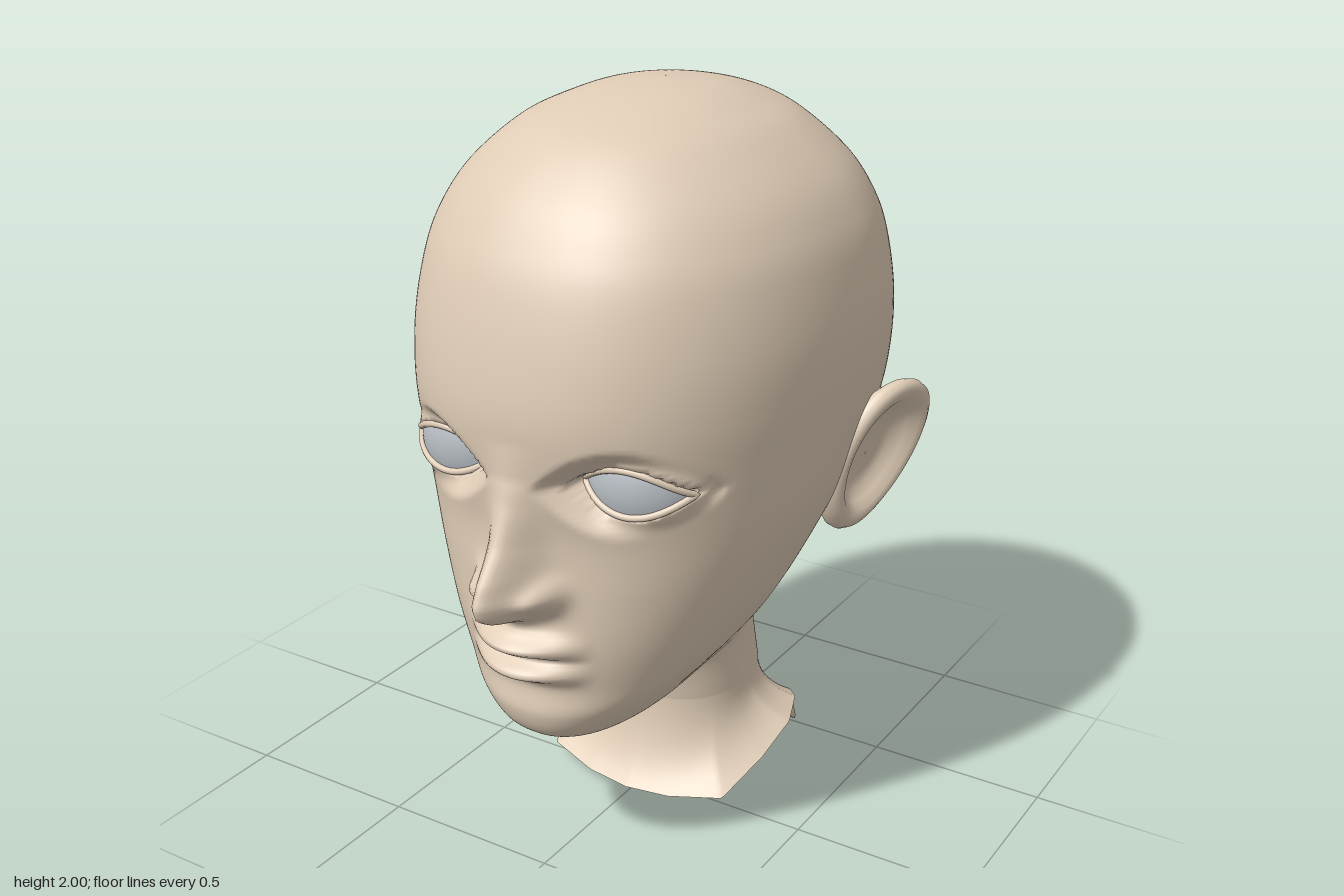
import * as THREE from 'three';

const { lerp, smoothstep, clamp } = THREE.MathUtils;
const bell = (v, mid, width) => Math.exp(-(((v - mid) / width) ** 2));

// Rings from crown to neck: front y, front z, back y, back z, half width, z of widest point, back roundness
const RINGS = [
  [2.0, -0.0995, 2.0, -0.1005, 0.0005, -0.1, 2],
  [1.985, 0.06, 1.985, -0.26, 0.145, -0.1, 2],
  [1.95, 0.215, 1.95, -0.395, 0.25, -0.1, 2],
  [1.9, 0.33, 1.9, -0.485, 0.345, -0.11, 2],
  [1.8, 0.442, 1.8, -0.597, 0.458, -0.12, 2],
  [1.7, 0.512, 1.7, -0.672, 0.522, -0.12, 2],
  [1.6, 0.558, 1.6, -0.718, 0.555, -0.12, 2],
  [1.45, 0.597, 1.45, -0.753, 0.577, -0.12, 2],
  [1.3, 0.615, 1.3, -0.752, 0.575, -0.12, 2],
  [1.15, 0.6, 1.17, -0.718, 0.557, -0.1, 2],
  [1.0, 0.572, 1.04, -0.65, 0.53, -0.05, 1.9],
  [0.85, 0.572, 0.93, -0.565, 0.487, -0.02, 1.75],
  [0.7, 0.575, 0.82, -0.468, 0.432, 0, 1.6],
  [0.58, 0.565, 0.735, -0.415, 0.377, 0.03, 1.5],
  [0.5, 0.57, 0.67, -0.394, 0.322, 0.03, 1.55],
  [0.43, 0.535, 0.615, -0.388, 0.268, 0, 1.7],
  [0.4, 0.46, 0.565, -0.388, 0.238, -0.05, 1.85],
  [0.415, 0.3, 0.515, -0.39, 0.226, -0.12, 2],
  [0.45, 0.1, 0.465, -0.396, 0.22, -0.16, 2],
  [0.41, 0.04, 0.41, -0.406, 0.219, -0.18, 2],
  [0.28, 0.01, 0.32, -0.428, 0.222, -0.2, 2],
];

// Cut edge of the neck, from front round to back: share of the half turn, x, y, z
const RIM = [
  [0, 0, 0.02, 0.1], [0.15, 0.13, 0.025, 0.085], [0.3, 0.28, 0.045, 0.04],
  [0.42, 0.32, 0.11, -0.12], [0.52, 0.335, 0.165, -0.25], [0.64, 0.29, 0.175, -0.37],
  [0.74, 0.225, 0.14, -0.455], [0.79, 0.225, 0, -0.515], [1, 0, 0.015, -0.505],
];

// Nose: height, projection, half width
const NOSE = [
  [0.73, 0, 0.06], [0.77, 0.025, 0.06], [0.795, 0.06, 0.065], [0.812, 0.13, 0.068],
  [0.835, 0.17, 0.07], [0.87, 0.184, 0.07], [0.92, 0.163, 0.066], [1.0, 0.102, 0.062],
  [1.1, 0.042, 0.06], [1.16, 0.015, 0.06], [1.25, 0, 0.06],
];

// Straight-line lookup in a table sorted by its first column
function lookup(table, v) {
  if (v <= table[0][0]) return table[0].slice(1);
  for (let i = 1; i < table.length; i++) {
    const a = table[i - 1], b = table[i];
    if (v <= b[0]) return a.slice(1).map((p, c) => lerp(p, b[c + 1], (v - a[0]) / (b[0] - a[0])));
  }
  return table[table.length - 1].slice(1);
}

// Smooth curve through the ring table
function ringAt(s) {
  const last = RINGS.length - 1, i = Math.min(Math.floor(s), last - 1), t = s - i;
  const p = [-1, 0, 1, 2].map(k => RINGS[Math.min(Math.max(i + k, 0), last)]);
  return p[1].map((b, c) => {
    const a = p[0][c], d = p[2][c], e = p[3][c];
    return b + 0.5 * t * (d - a + t * (2 * a - 5 * b + 4 * d - e + t * (3 * (b - d) + e - a)));
  });
}

// Eyeball sphere and the almond opening over it
const EYE = { x: 0.25, y: 1.145, z: 0.345, r: 0.17, midX: 0.267, halfW: 0.14, halfH: 0.055 };
const ballZ = (x, y, r) =>
  EYE.z + Math.sqrt(Math.max(0, r * r - (x - EYE.x) ** 2 - (y - EYE.y) ** 2));

// Depth of the face once nose, lips and eye sockets are modelled in
function faceZ(x, y, z) {
  const ax = Math.abs(x);
  const [out, width] = lookup(NOSE, y);
  let f = z + out * bell(x, 0, width);
  f += 0.06 * bell(ax, 0.092, 0.034) * bell(y, 0.866, 0.036);
  const mouth = Math.max(0, 1 - (x / 0.19) ** 2) ** 1.5;
  f += mouth * (0.075 * bell(y, 0.715, 0.03) + 0.066 * bell(y, 0.64, 0.028));
  f -= 0.02 * mouth * bell(y, 0.678, 0.009);
  const d = ((ax - EYE.midX) / EYE.halfW) ** 2 + Math.abs(y - EYE.y) / EYE.halfH;
  const lid = 1 - smoothstep(d, 1.15, 2.2);
  if (lid > 0) {
    const s = smoothstep(d, 0.95, 1.15);
    const target = clamp(ballZ(ax, y, lerp(0.14, 0.178, s)), f - lerp(0.15, 0.055, s), f + 0.015);
    f = lerp(f, target, lid);
  }
  return f;
}

// Joins closed rows of points into a smooth skin
function skinGeometry(rows, flip = false) {
  const n = rows[0].length, index = [];
  for (let i = 0; i < rows.length - 1; i++) {
    for (let j = 0; j < n; j++) {
      const k = (j + 1) % n;
      const a = i * n + j, b = a + n, c = i * n + k, d = c + n;
      index.push(...(flip ? [a, c, b, b, c, d] : [a, b, c, b, d, c]));
    }
  }
  const g = new THREE.BufferGeometry();
  g.setAttribute('position', new THREE.Float32BufferAttribute(rows.flat(2), 3));
  g.setIndex(index);
  g.computeVertexNormals();
  return g;
}

function headGeometry() {
  const SEG = 180, PER = 13, rows = [];
  // Angles sit closer together at the face
  const angles = Array.from({ length: SEG }, (_, j) => {
    const u = (2 * j) / SEG - 1;
    return Math.PI * Math.sign(u) * Math.abs(u) ** 1.25;
  });
  for (let i = 0; i <= (RINGS.length - 1) * PER; i++) {
    const [yf, zf, yb, zb, w, zc, round] = ringAt(i / PER);
    rows.push(angles.map(a => {
      const s = Math.sin(a), c = Math.cos(a);
      const e = 2 / (c > 0 ? 2.25 : round);
      const x = w * Math.sign(s) * Math.abs(s) ** e;
      const z = zc + (c > 0 ? zf - zc : zc - zb) * Math.sign(c) * Math.abs(c) ** e;
      const y = lerp(yf, yb, (zf - z) / (zf - zb));
      return [x, y, c > 0 && z > 0.2 ? faceZ(x, y, z) : z];
    }));
  }
  // Neck flares out to its cut edge
  const neck = rows[rows.length - 1];
  for (let k = 1; k <= 10; k++) {
    const t = k / 10;
    rows.push(neck.map(([x, y, z], j) => {
      const [rx, ry, rz] = lookup(RIM, Math.abs(angles[j]) / Math.PI);
      const bend = (a, b, c) => a * (1 - t) ** 2 + 2 * b * t * (1 - t) + c * t * t;
      return [bend(x, x, rx * Math.sign(angles[j])), bend(y, lerp(y, ry, 0.65), ry), bend(z, z, rz)];
    }));
  }
  return skinGeometry(rows);
}

// Ear: a hollow, a rolled rim and a back that runs into the head (size, height)
const EAR = [
  [0.01, -0.02], [0.3, -0.022], [0.5, -0.018], [0.64, 0.004], [0.76, 0.024], [0.87, 0.03],
  [0.96, 0.022], [1, 0.004], [0.98, -0.016], [0.9, -0.034], [0.75, -0.06], [0.55, -0.1],
];

function earGeometry(side) {
  const rows = EAR.map(([r, h]) => Array.from({ length: 48 }, (_, j) => {
    const a = (j / 48) * Math.PI * 2, s = Math.sin(a);
    const back = r * (0.152 * Math.cos(a) * (0.88 + 0.12 * s) + 0.035 * s);
    const up = r * 0.21 * s;
    return [side * (0.557 + 0.36 * back + 0.22 * up + h), 1.05 + up, -0.232 - back];
  }));
  return skinGeometry(rows, side < 0);
}

// Visible front of an eyeball, an almond patch of the sphere
function eyeGeometry(side) {
  const g = new THREE.PlaneGeometry(2, 2, 28, 12), p = g.attributes.position;
  for (let i = 0; i < p.count; i++) {
    const s = p.getX(i), t = p.getY(i);
    const x = EYE.midX + side * s * 0.143;
    const y = EYE.y + t * 0.061 * (1 - s * s);
    p.setXYZ(i, side * x, y, ballZ(x, y, EYE.r));
  }
  g.computeVertexNormals();
  return g;
}

// Lid edge, a thin tube round the almond opening
function lidGeometry(side) {
  const points = Array.from({ length: 48 }, (_, j) => {
    const a = (j / 48) * Math.PI * 2, s = Math.cos(a);
    const x = EYE.midX + s * 0.141;
    const y = EYE.y + Math.sign(Math.sin(a)) * 0.059 * (1 - s * s);
    return new THREE.Vector3(side * x, y, ballZ(x, y, 0.173));
  });
  return new THREE.TubeGeometry(new THREE.CatmullRomCurve3(points, true), 96, 0.009, 8, true);
}

export function createModel() {
  const skin = new THREE.MeshStandardMaterial({ color: 0xdfccb6, side: THREE.DoubleSide });
  skin.name = 'skin';
  const eyeGrey = new THREE.MeshStandardMaterial({ color: 0xb9bfc5, side: THREE.DoubleSide });
  eyeGrey.name = 'eyeGrey';

  const model = new THREE.Group();
  model.name = 'headBust';
  const add = (name, geometry, material) => {
    const mesh = new THREE.Mesh(geometry, material);
    mesh.name = name;
    model.add(mesh);
  };
  add('headAndNeck', headGeometry(), skin);
  for (const [label, side] of [['left', 1], ['right', -1]]) {
    add(label + 'Ear', earGeometry(side), skin);
    add(label + 'Eye', eyeGeometry(side), eyeGrey);
    add(label + 'EyeLid', lidGeometry(side), skin);
  }
  return model;
}
